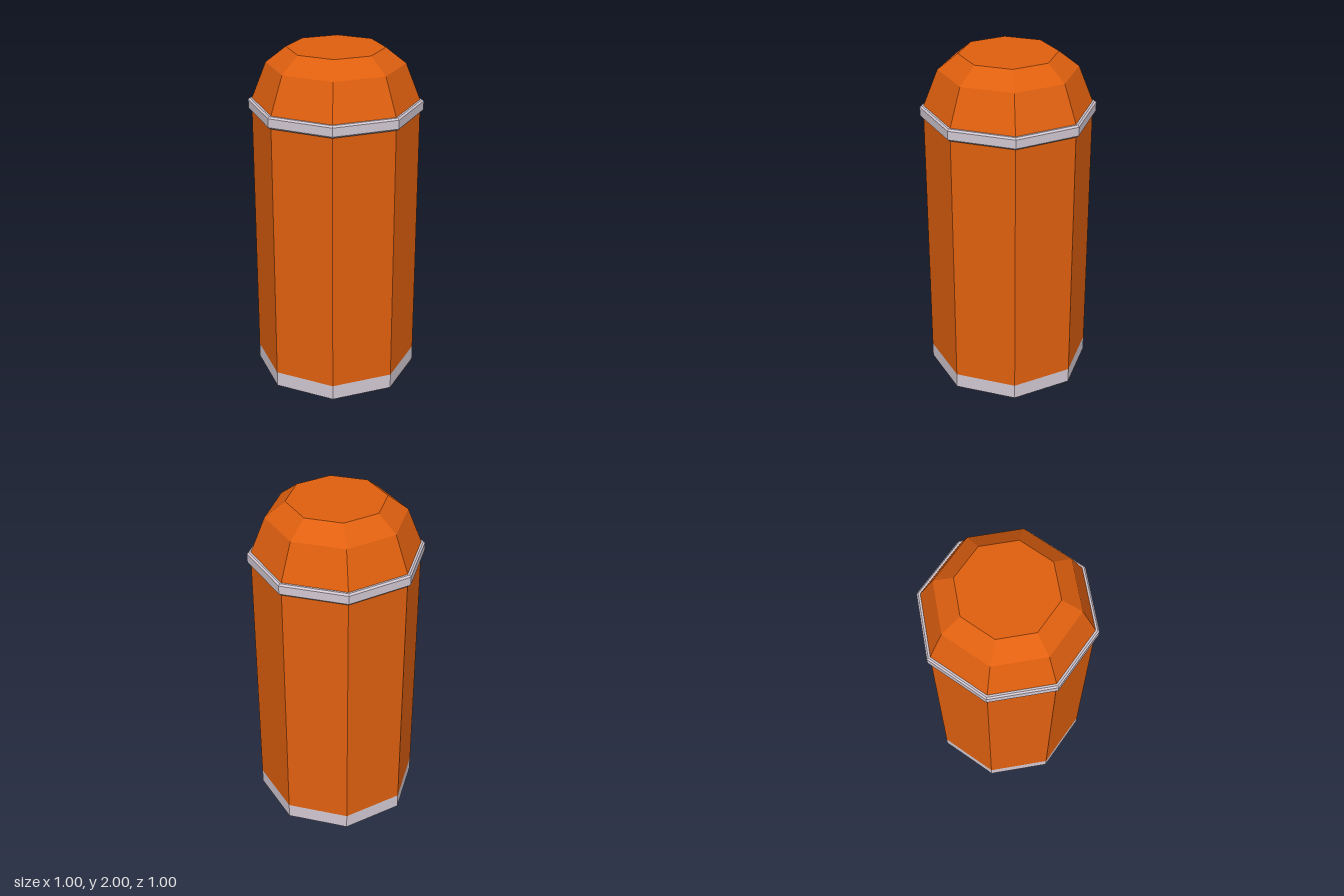
import * as THREE from 'three';

const SIDES = 8;

export function createModel() {
  const model = new THREE.Group();
  const orange = new THREE.MeshStandardMaterial({ color: 0xe0600f, flatShading: true });
  const silver = new THREE.MeshStandardMaterial({ color: 0xd2c8d2, flatShading: true });

  // Octagonal solid turned from [radius, height] points, listed bottom to top
  function addTurned(name, profile, material) {
    const points = profile.map(([r, y]) => new THREE.Vector2(r, y));
    const mesh = new THREE.Mesh(new THREE.LatheGeometry(points, SIDES), material);
    mesh.name = name;
    model.add(mesh);
  }

  // Base band with closed underside
  addTurned('baseBand', [[0, 0], [0.48, 0], [0.48, 0.09]], silver);

  // Straight body wall
  addTurned('body', [[0.48, 0.09], [0.48, 1.66]], orange);

  // Raised collar with small bevels
  addTurned('collar', [
    [0.48, 1.63], [0.49, 1.63], [0.5, 1.64], [0.5, 1.69], [0.49, 1.7], [0.478, 1.7],
  ], silver);

  // Faceted domed cap with flat top
  addTurned('cap', [[0.48, 1.66], [0.48, 1.695], [0.395, 1.91], [0.28, 2], [0, 2]], orange);

  return model;
}
